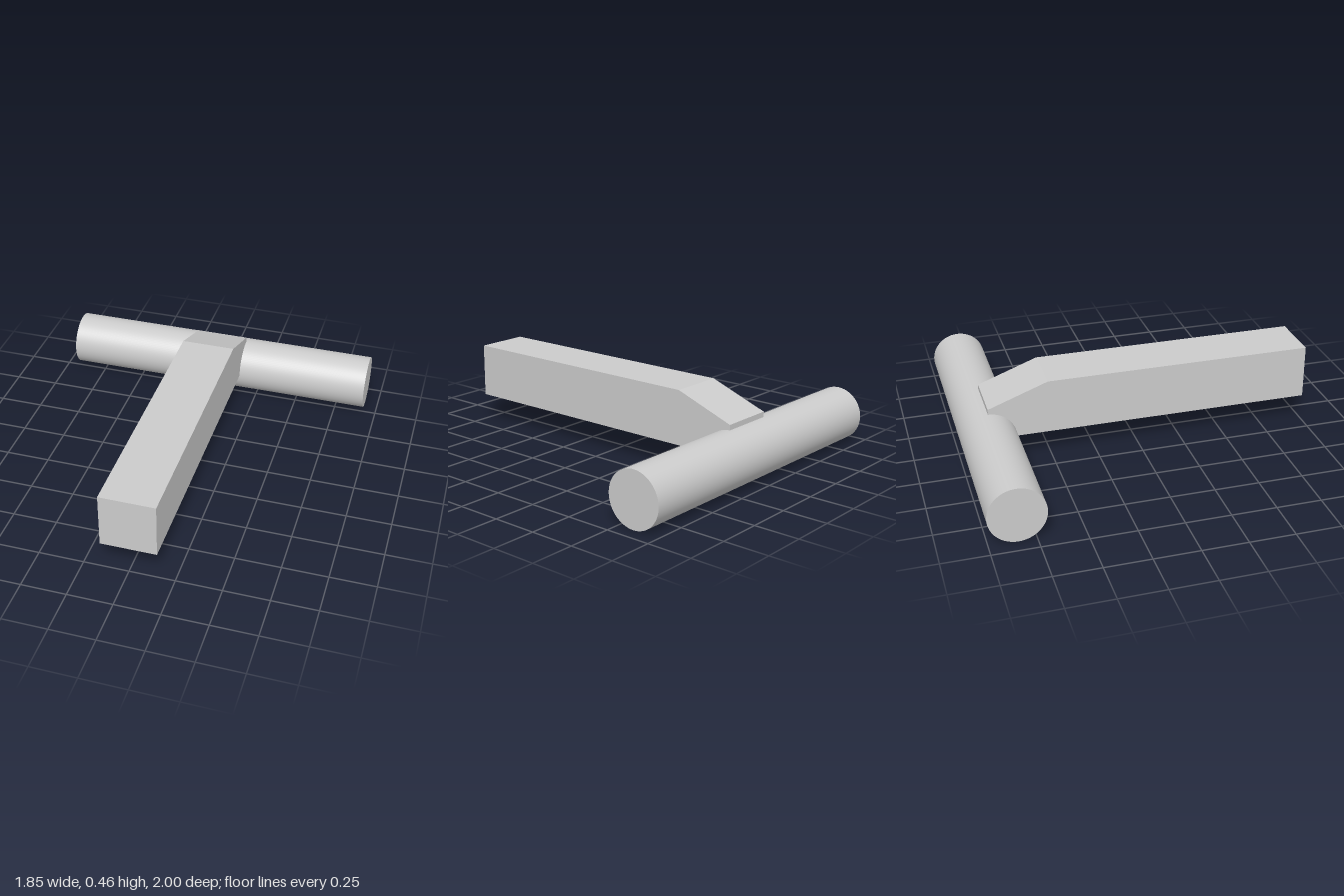
import * as THREE from 'three';

const RADIUS = 0.154;
const AXIS_Z = -1 + RADIUS;

export function createModel() {
  const model = new THREE.Group();
  const material = new THREE.MeshStandardMaterial({ color: 0xcccccc });

  // Round crossbar lying along x at the back
  const crossbar = new THREE.Mesh(
    new THREE.CylinderGeometry(RADIUS, RADIUS, 1.846, 96),
    material
  );
  crossbar.name = 'crossbar';
  crossbar.rotation.z = Math.PI / 2;
  crossbar.position.set(0, RADIUS, AXIS_Z);
  model.add(crossbar);

  // Square handle: side profile in (z, y), sloping down to meet the crossbar
  const profile = new THREE.Shape([
    new THREE.Vector2(AXIS_Z, RADIUS),
    new THREE.Vector2(1, RADIUS),
    new THREE.Vector2(1, RADIUS * 3),
    new THREE.Vector2(-0.51, RADIUS * 3),
    new THREE.Vector2(AXIS_Z, 0.338),
  ]);
  const handleGeometry = new THREE.ExtrudeGeometry(profile, {
    depth: RADIUS * 2,
    bevelEnabled: false,
  });
  handleGeometry.translate(0, 0, -RADIUS);
  handleGeometry.rotateY(-Math.PI / 2);
  const handle = new THREE.Mesh(handleGeometry, material);
  handle.name = 'handle';
  model.add(handle);

  return model;
}
